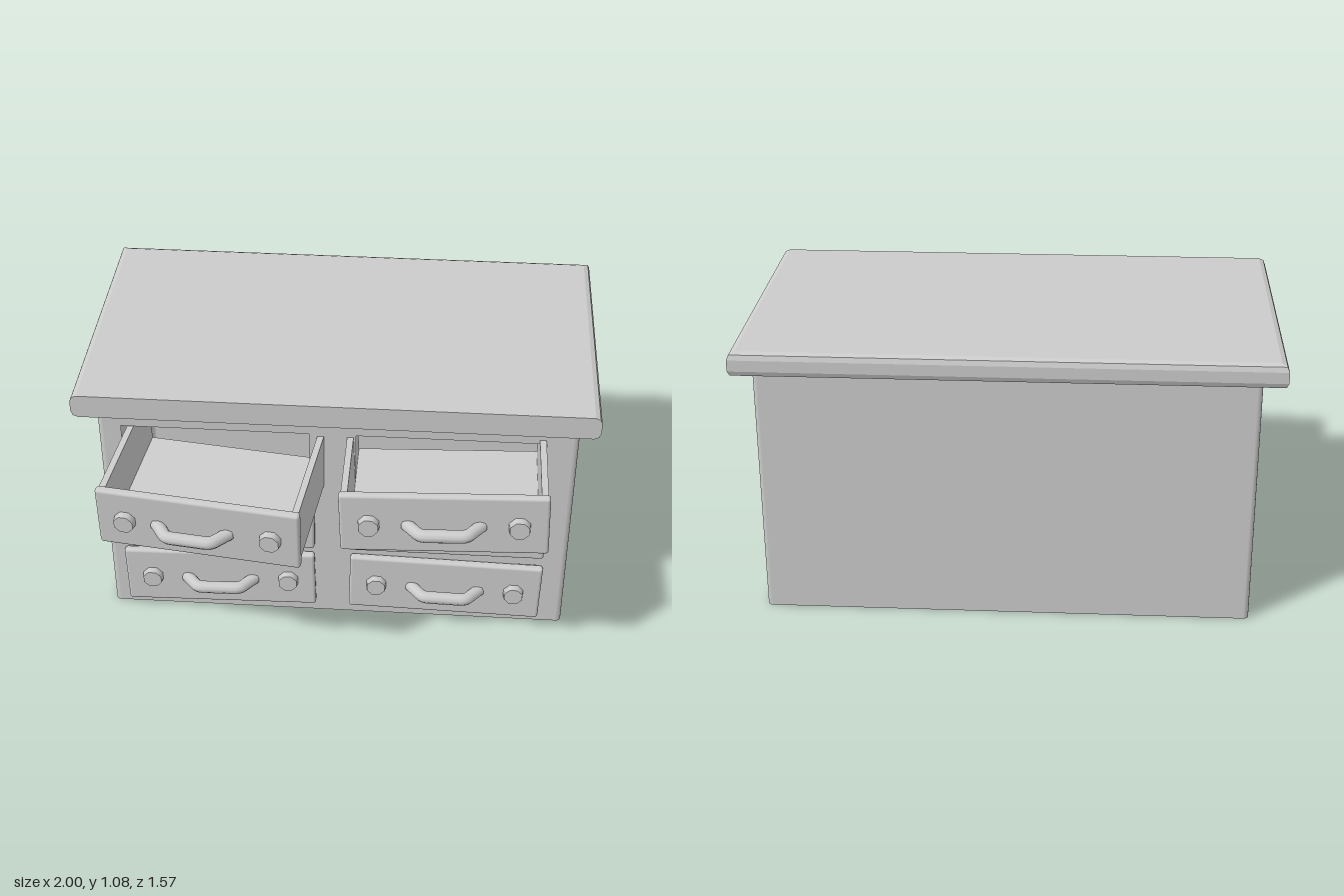
import * as THREE from 'three';
import { RoundedBoxGeometry } from 'three/addons/geometries/RoundedBoxGeometry.js';

const mat = new THREE.MeshStandardMaterial({ color: 0xcccccc });
const thin = new THREE.MeshStandardMaterial({ color: 0xcccccc, side: THREE.DoubleSide });

function add(parent, name, geometry, x = 0, y = 0, z = 0, material = mat) {
  const mesh = new THREE.Mesh(geometry, material);
  mesh.name = name;
  mesh.position.set(x, y, z);
  parent.add(mesh);
  return mesh;
}

// Slots: centre of the front board, then rotation
const DRAWERS = [
  { name: 'topLeftDrawer', pos: [0.43, 0.785, 0.655], rot: [0, 0, 0.035], depth: 0.6 },
  { name: 'topRightDrawer', pos: [-0.48, 0.745, 0.7], rot: [0.06, -0.125, 0], depth: 0.6, handleX: -0.02 },
  { name: 'middleLeftDrawer', pos: [0.447, 0.483, 0.315], rot: [0, 0, 0], depth: 0.26 },
  { name: 'middleRightDrawer', pos: [-0.468, 0.487, 0.315], rot: [0, 0, -0.014], depth: 0.26 },
  { name: 'bottomLeftDrawer', pos: [0.447, 0.178, 0.315], rot: [0, 0, -0.024], depth: 0.26 },
  { name: 'bottomRightDrawer', pos: [-0.468, 0.178, 0.315], rot: [0, 0, 0.022], depth: 0.26 },
];

// Bent bar handle: two slanted feet and a straight grip
function handleGeometry() {
  const p = [[-0.14, -0.01], [-0.085, 0.057], [0.085, 0.057], [0.14, -0.01]]
    .map(([x, z]) => new THREE.Vector3(x, 0, z));
  const path = new THREE.CurvePath();
  const a = p[1].clone().lerp(p[0], 0.2), b = p[1].clone().lerp(p[2], 0.12);
  const c = p[2].clone().lerp(p[1], 0.12), d = p[2].clone().lerp(p[3], 0.2);
  path.add(new THREE.LineCurve3(p[0], a));
  path.add(new THREE.QuadraticBezierCurve3(a, p[1], b));
  path.add(new THREE.LineCurve3(b, c));
  path.add(new THREE.QuadraticBezierCurve3(c, p[2], d));
  path.add(new THREE.LineCurve3(d, p[3]));
  return new THREE.TubeGeometry(path, 40, 0.025, 10);
}

// Drawer with its front face at local z = 0, open at the top and back
function createDrawer({ name, pos, rot, depth, handleX = 0 }) {
  const g = new THREE.Group();
  g.name = name;
  g.position.set(...pos);
  g.rotation.set(...rot);
  const w = 0.775, h = 0.26, t = 0.035;
  add(g, 'drawerFront', new RoundedBoxGeometry(w, h, t, 3, 0.012), 0, 0, -t / 2);
  for (const s of [-1, 1]) {
    add(g, 'drawerSide', new THREE.BoxGeometry(0.025, h - 0.02, depth - 0.02),
      s * (w / 2 - 0.02), 0, -depth / 2 - 0.01);
    const knob = add(g, 'knob', new THREE.CylinderGeometry(0.039, 0.044, 0.035, 8), s * 0.278, 0, 0.01);
    knob.rotation.set(Math.PI / 2, Math.PI / 8, 0);
  }
  add(g, 'drawerFloor', new THREE.BoxGeometry(w - 0.04, 0.02, depth - 0.02), 0, -h / 2 + 0.02, -depth / 2 - 0.01);
  const stub = add(g, 'knobFastener', new THREE.CylinderGeometry(0.035, 0.035, 0.04, 8), 0.278, 0, -0.05);
  stub.rotation.x = Math.PI / 2;
  add(g, 'handle', handleGeometry(), handleX, -0.005, 0);
  return g;
}

// Back and side walls with rounded upright corners
function wallGeometry(x0, x1, z0, z1, height, r) {
  const pts = [];
  const corner = (cx, cz, start) => {
    for (let i = 0; i <= 4; i++) {
      const a = start - (i / 4) * Math.PI / 2;
      pts.push([cx + r * Math.cos(a), cz + r * Math.sin(a)]);
    }
  };
  corner(x1 - r, z1 - r, Math.PI / 2);
  corner(x1 - r, z0 + r, 0);
  corner(x0 + r, z0 + r, -Math.PI / 2);
  corner(x0 + r, z1 - r, -Math.PI);
  const geo = new THREE.PlaneGeometry(1, 1, pts.length - 1, 1);
  const p = geo.attributes.position;
  for (let i = 0; i < p.count; i++) {
    const [x, z] = pts[i % pts.length];
    p.setXYZ(i, x, i < pts.length ? height : 0, z);
  }
  geo.computeVertexNormals();
  return geo;
}

// Front panel pierced by one opening per drawer
function frontGeometry(x0, x1, height) {
  const rect = (Type, a, b, c, d) => new Type([[a, b], [c, b], [c, d], [a, d]].map((q) => new THREE.Vector2(...q)));
  const shape = rect(THREE.Shape, x0, 0, x1, height);
  for (const cx of [-0.465, 0.445]) {
    for (const cy of [0.18, 0.485, 0.785]) {
      shape.holes.push(rect(THREE.Path, cx - 0.365, cy - 0.115, cx + 0.365, cy + 0.115));
    }
  }
  return new THREE.ShapeGeometry(shape);
}

// Top board: bevelled at the sides and back, cut flat at the front
function topGeometry() {
  const b = 0.026, front = 0.355, back = -0.78;
  const shape = new THREE.Shape();
  shape.moveTo(-1 + b, -front);
  shape.lineTo(1 - b, -front);
  shape.lineTo(1 - b, -back - b);
  shape.lineTo(-1 + b, -back - b);
  const geo = new THREE.ExtrudeGeometry(shape, {
    depth: 0.095 - 2 * b, bevelSize: b, bevelThickness: b, bevelSegments: 2,
  });
  geo.rotateX(-Math.PI / 2);
  const p = geo.attributes.position;
  for (let i = 0; i < p.count; i++) p.setZ(i, Math.min(p.getZ(i), front));
  geo.computeVertexNormals();
  return geo.translate(0, b, 0);
}

export function createModel() {
  const model = new THREE.Group();
  model.name = 'chestOfDrawers';
  const x0 = -0.92, x1 = 0.93, z0 = -0.7, z1 = 0.28, H = 0.98, r = 0.02;

  // Hollow body, open underneath
  const body = new THREE.Group();
  body.name = 'body';
  add(body, 'walls', wallGeometry(x0, x1, z0, z1, H, r), 0, 0, 0, thin);
  add(body, 'frontPanel', frontGeometry(x0 + r, x1 - r, H), 0, 0, z1, thin);
  const lid = add(body, 'bodyTop', new THREE.PlaneGeometry(x1 - x0 - r, z1 - z0 - r), (x0 + x1) / 2, H, (z0 + z1) / 2, thin);
  lid.rotation.x = -Math.PI / 2;
  model.add(body);

  add(model, 'topBoard', topGeometry(), 0, 0.988, 0);
  for (const d of DRAWERS) model.add(createDrawer(d));
  return model;
}
